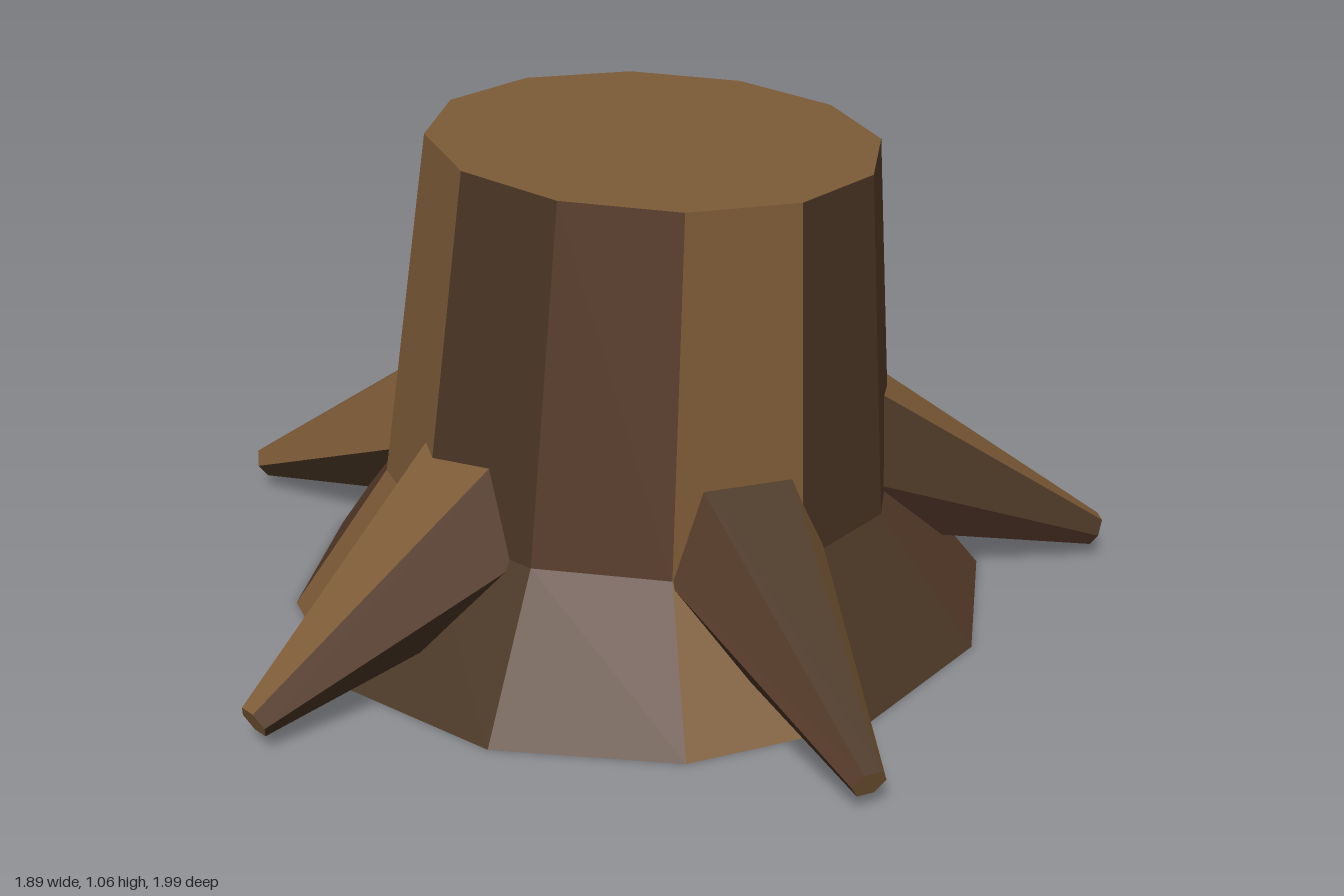
import * as THREE from 'three';

const paleWood = new THREE.MeshStandardMaterial({ color: 0x7d5b37 });
const redBark = new THREE.MeshStandardMaterial({ color: 0x563b2a });
const darkBark = new THREE.MeshStandardMaterial({ color: 0x4a3624 });
[paleWood, redBark, darkBark].forEach((m, i) => { m.name = ['paleWood', 'redBark', 'darkBark'][i]; m.flatShading = true; });
const PALETTE = [paleWood, redBark, darkBark];
const PALE = 0, RED = 1, DARK = 2;

// Closed faceted loft through rings of points (bottom to top); colours[k] paints side k, both caps are pale
function loft(name, rings, colours) {
  const pos = [], geo = new THREE.BufferGeometry();
  const add = (colour, ...pts) => {
    geo.addGroup(pos.length / 3, pts.length, colour);
    pts.forEach(p => pos.push(p.x, p.y, p.z));
  };
  const n = rings[0].length;
  for (let r = 0; r < rings.length - 1; r++) {
    const a = rings[r], b = rings[r + 1];
    for (let k = 0; k < n; k++) {
      const j = (k + 1) % n;
      add(colours[k % colours.length], a[k], b[k], b[j], a[k], b[j], a[j]);
    }
  }
  const low = rings[0], high = rings[rings.length - 1];
  for (let k = 1; k < n - 1; k++) {
    add(PALE, low[0], low[k], low[k + 1]);
    add(PALE, high[0], high[k + 1], high[k]);
  }
  geo.setAttribute('position', new THREE.Float32BufferAttribute(pos, 3));
  geo.computeVertexNormals();
  const mesh = new THREE.Mesh(geo, PALETTE);
  mesh.name = name;
  return mesh;
}

// Regular ring around (cx, y, 0), sloping down toward +x by tilt
function ring(sides, radius, y, cx = 0, tilt = 0, start = 0) {
  return Array.from({ length: sides }, (_, k) => {
    const a = start + (k / sides) * Math.PI * 2;
    const dx = radius * Math.cos(a);
    return new THREE.Vector3(cx + dx, y - tilt * dx, radius * Math.sin(a));
  });
}

export function createModel() {
  const model = new THREE.Group();
  model.name = 'treeStump';
  const CX = -0.09;

  // Trunk: flared foot, waist and slanted cut, bark repeating every three sides
  model.add(loft('trunk', [
    ring(12, 0.76, 0, CX),
    ring(12, 0.55, 0.29, CX, 0.035),
    ring(12, 0.475, 1.035, -0.055, 0.053),
  ], [RED, DARK, PALE]));

  // Roots: tapered six-sided spikes; side 2 faces up, side 5 faces down
  const pitch = THREE.MathUtils.degToRad(23);
  const length = 0.75;
  const roots = [
    [0, [RED, DARK, PALE, DARK, RED, DARK]],
    [72, [DARK, RED, DARK, PALE, RED, DARK]],
    [144, [DARK, PALE, PALE, RED, DARK, DARK]],
    [-144, [DARK, RED, PALE, PALE, DARK, DARK]],
    [-72, [RED, PALE, DARK, RED, DARK, DARK]],
  ];
  roots.forEach(([deg, colours], i) => {
    const spike = loft('rootSpike', [
      ring(6, 0.222, -length, 0, 0, Math.PI / 6),
      ring(6, 0.037, 0, 0, 0, Math.PI / 6),
    ], colours);
    spike.position.set(1.028, 0.066, 0);
    spike.rotation.z = -(Math.PI / 2 + pitch);
    const root = new THREE.Group();
    root.name = 'root' + (i + 1);
    root.position.x = CX;
    root.rotation.y = -THREE.MathUtils.degToRad(deg);
    root.add(spike);
    model.add(root);
  });
  return model;
}
